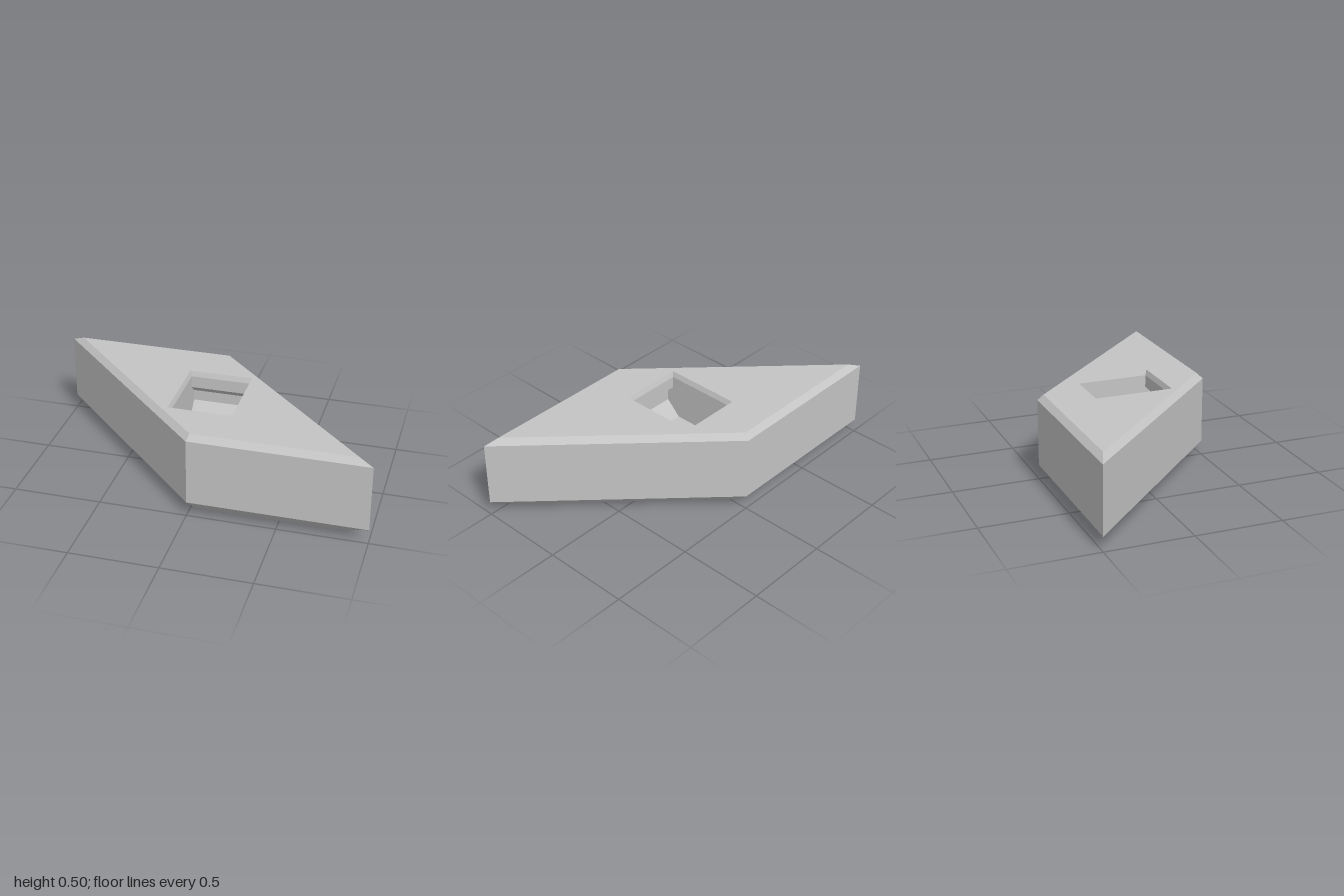
import * as THREE from 'three';

// Four corners of the slanted outline, moved inward evenly by d
function outline(d, y) {
  const near = d * (Math.SQRT2 - 1), far = 1 - d * (Math.SQRT2 + 1), z = 0.5 - d;
  return [[near, y, z], [far, y, z], [-near, y, -z], [-far, y, -z]];
}

// Four corners of the socket opening
function rect(x, z, y) {
  return [[-x, y, z], [x, y, z], [x, y, -z], [-x, y, -z]];
}

// Skin successive four-cornered rings with flat faces
function skin(rings, caps) {
  const pos = [];
  const quad = (a, b, c, d) => [a, b, c, a, c, d].forEach((p) => pos.push(...p));
  for (let r = 0; r + 1 < rings.length; r++) {
    const a = rings[r], b = rings[r + 1];
    for (let i = 0; i < 4; i++) {
      const j = (i + 1) % 4;
      quad(a[i], a[j], b[j], b[i]);
    }
  }
  caps.forEach((c) => quad(...c));
  const geometry = new THREE.BufferGeometry();
  geometry.setAttribute('position', new THREE.Float32BufferAttribute(pos, 3));
  geometry.computeVertexNormals();
  return geometry;
}

export function createModel() {
  const group = new THREE.Group();
  group.name = 'slantedBlock';
  const grey = new THREE.MeshStandardMaterial({ color: 0xc4c4c4, flatShading: true });
  grey.name = 'light grey';

  const add = (name, geometry) => {
    const mesh = new THREE.Mesh(geometry, grey);
    mesh.name = name;
    group.add(mesh);
  };

  // Chamfered block, its top face running in to the socket rim
  const base = outline(0.084, 0);
  const rim = rect(0.182, 0.225, 0.5);
  add('block', skin(
    [base, outline(0, 0.084), outline(0, 0.468), outline(0.032, 0.5), rim],
    [[...base].reverse()],
  ));

  // Socket: steep rim chamfer, neck, undercut on two sides, sloped bottom
  const floor = rect(0.171, 0.171, 0.213);
  add('socket', skin(
    [
      rim,
      rect(0.171, 0.214, 0.47),
      rect(0.171, 0.214, 0.4),
      rect(0.171, 0.255, 0.36),
      rect(0.171, 0.255, 0.297),
      floor,
    ],
    [floor],
  ));

  return group;
}
